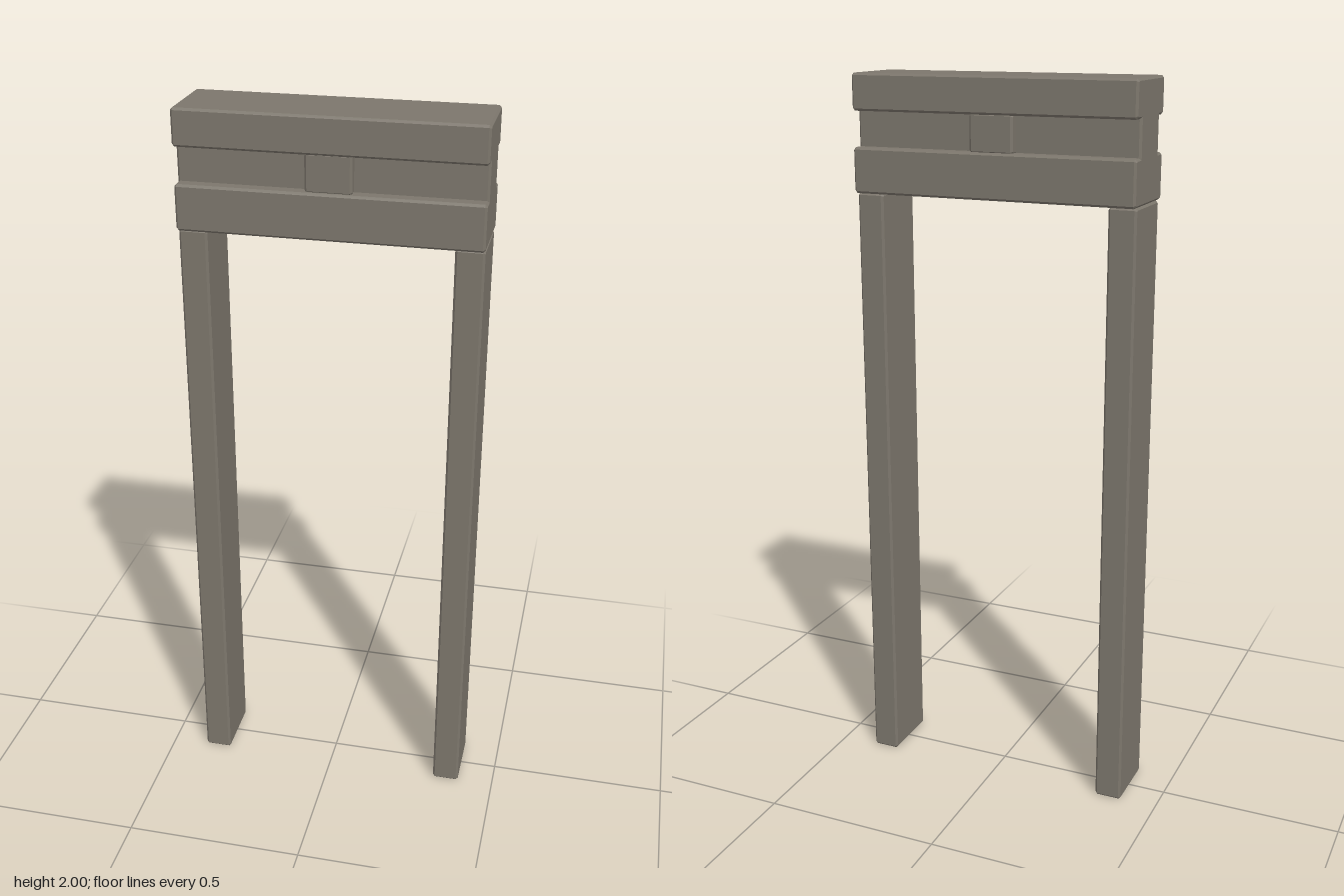
import * as THREE from 'three';

const stone = new THREE.MeshStandardMaterial({ color: 0x7c766c });
stone.name = 'grey stone';
const C = 0.006; // chamfer on every outer edge

// Extrudes a (z, y) profile along x with chamfered ends
function chamferedBar(name, profile, length) {
  const shape = new THREE.Shape(profile.map(([z, y]) => new THREE.Vector2(z, y)));
  const geometry = new THREE.ExtrudeGeometry(shape, {
    depth: length - 2 * C, bevelEnabled: true, bevelSegments: 1,
    bevelThickness: C, bevelSize: C, bevelOffset: -C,
  });
  geometry.translate(0, 0, C - length / 2).rotateY(Math.PI / 2);
  const mesh = new THREE.Mesh(geometry, stone);
  mesh.name = name;
  return mesh;
}

// Rectangular profile with cut corners
function rectangle(halfZ, y0, y1) {
  return [
    [halfZ - C, y0], [halfZ, y0 + C], [halfZ, y1 - C], [halfZ - C, y1],
    [C - halfZ, y1], [-halfZ, y1 - C], [-halfZ, y0 + C], [C - halfZ, y0],
  ];
}

export function createModel() {
  const group = new THREE.Group();
  group.name = 'doorFrame';

  // Posts
  for (const [name, side] of [['leftPost', 1], ['rightPost', -1]]) {
    const post = chamferedBar(name, rectangle(0.09, 0, 1.685), 0.076);
    post.position.x = side * 0.359;
    group.add(post);
  }

  // Lintel with a groove along the front and back
  const Z = 0.106, G = 0.071;
  const half = [
    [Z - C, 1.685], [Z, 1.685 + C], [Z, 1.807 - C], [Z - C, 1.807], [G, 1.807],
    [G, 1.902], [Z - C, 1.902], [Z, 1.902 + C], [Z, 2 - C], [Z - C, 2],
  ];
  const mirrored = half.map(([z, y]) => [-z, y]).reverse();
  group.add(chamferedBar('lintel', [...half, ...mirrored], 0.796));

  // Key block filling the middle of both grooves
  group.add(chamferedBar('keyBlock', rectangle(0.096, 1.803, 1.906), 0.122));

  return group;
}
